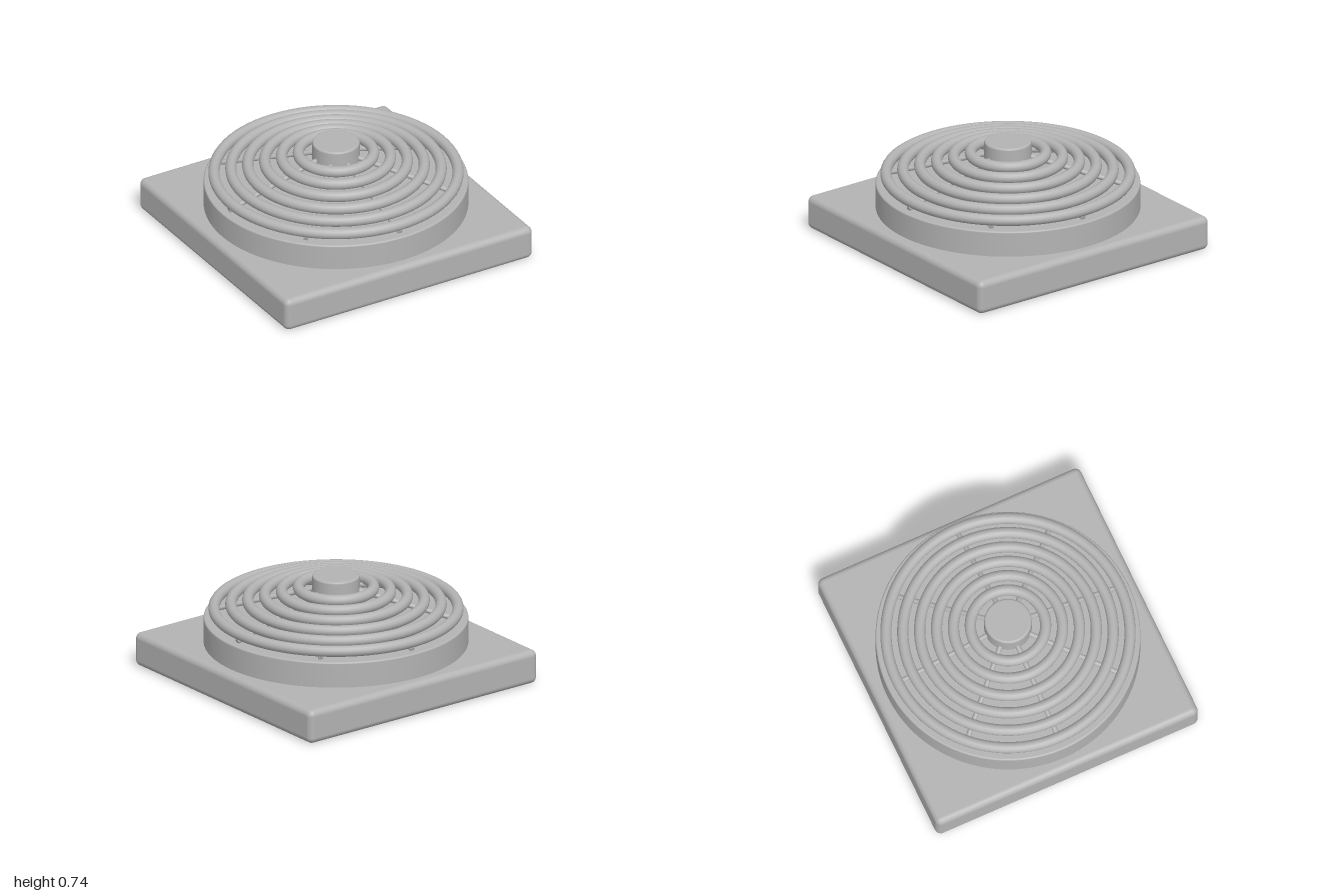
import * as THREE from 'three';
import { RoundedBoxGeometry } from 'three/addons/geometries/RoundedBoxGeometry.js';

// Smooth solid of revolution with a rounded top edge
function roundedDisc(radius, bottom, top, bevel) {
  const points = [new THREE.Vector2(0, bottom), new THREE.Vector2(radius, bottom), new THREE.Vector2(radius, bottom)];
  for (let i = 0; i <= 5; i++) {
    const a = (i / 5) * Math.PI / 2;
    points.push(new THREE.Vector2(radius - bevel + bevel * Math.cos(a), top - bevel + bevel * Math.sin(a)));
  }
  points.push(new THREE.Vector2(radius - bevel * 1.05, top), new THREE.Vector2(0, top));
  return new THREE.LatheGeometry(points, 80);
}

export function createModel() {
  const group = new THREE.Group();
  const grey = new THREE.MeshStandardMaterial({ color: 0xb3b3b3 });
  grey.name = 'grey plastic';

  const add = (name, geometry) => {
    const mesh = new THREE.Mesh(geometry, grey);
    mesh.name = name;
    group.add(mesh);
    return mesh;
  };

  // Square mounting plate and round housing
  add('basePlate', new RoundedBoxGeometry(2, 0.245, 2, 5, 0.045)).position.y = 0.1225;
  add('housing', roundedDisc(0.918, 0.2, 0.43, 0.012));

  // Concentric grille rings, rising toward the centre
  for (let i = 0; i < 6; i++) {
    const ring = add('grilleRing', new THREE.TorusGeometry(0.846 - i * 0.117, 0.039, 16, 80));
    ring.rotation.x = Math.PI / 2;
    ring.position.y = 0.488 + i * 0.031;
  }

  // Sloping spokes under the rings
  const inner = new THREE.Vector3(0.1, 0.642, 0);
  const outer = new THREE.Vector3(0.865, 0.44, 0);
  const direction = outer.clone().sub(inner);
  const spokeGeometry = new THREE.CylinderGeometry(0.018, 0.018, direction.length(), 10);
  spokeGeometry.applyQuaternion(new THREE.Quaternion().setFromUnitVectors(
    new THREE.Vector3(0, 1, 0), direction.clone().normalize()));
  spokeGeometry.translate(...inner.clone().add(outer).multiplyScalar(0.5).toArray());
  for (let i = 0; i < 8; i++) {
    add('spoke', spokeGeometry).rotation.y = i * Math.PI / 4;
  }

  // Central cap
  add('hubCap', roundedDisc(0.165, 0.6, 0.737, 0.015));

  return group;
}
